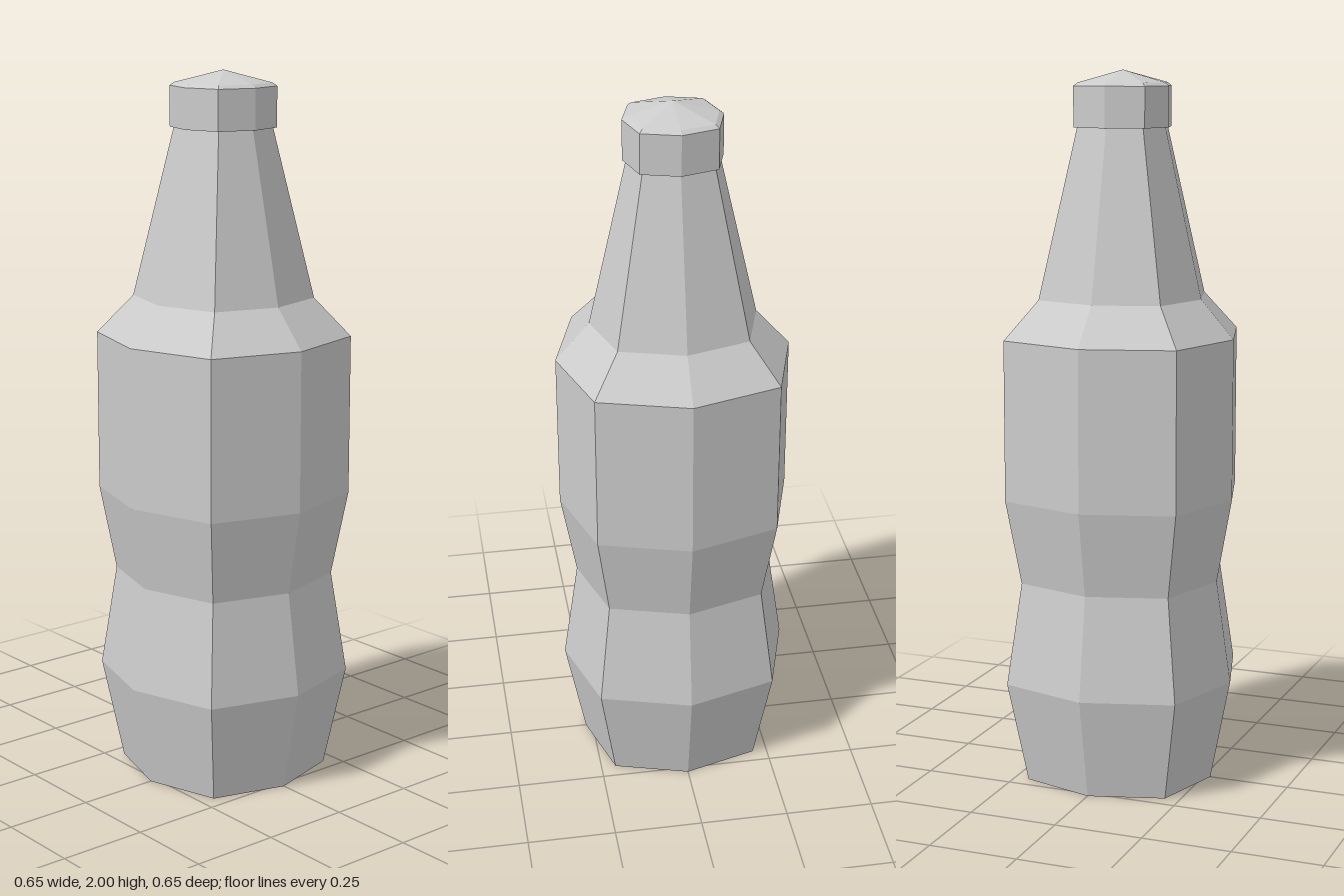
import * as THREE from 'three';

const material = new THREE.MeshStandardMaterial({ color: 0xcccccc, flatShading: true });

// Eight-sided lathe whose diagonal corners are pushed out, giving a squarish octagon
function squaredLathe(name, profile) {
  const points = profile.map(([r, y]) => new THREE.Vector2(r, y));
  const geometry = new THREE.LatheGeometry(points, 8);
  const pos = geometry.attributes.position;
  for (let i = 0; i < pos.count; i++) {
    const corner = Math.floor(i / points.length) % 2 === 1;
    const k = corner ? 1.09 : 1;
    pos.setXYZ(i, pos.getX(i) * k, pos.getY(i), pos.getZ(i) * k);
  }
  geometry.computeVertexNormals();
  const mesh = new THREE.Mesh(geometry, material);
  mesh.name = name;
  return mesh;
}

export function createModel() {
  const group = new THREE.Group();
  group.name = 'bottle';

  // Base, pinched waist, straight label band, shoulder and tapering neck
  group.add(squaredLathe('bottleBody', [
    [0, 0], [0.27, 0], [0.327, 0.29], [0.284, 0.58], [0.327, 0.82],
    [0.327, 1.27], [0.232, 1.377], [0.124, 1.85],
  ]));

  // Overhanging cap with a small bevel and a low pointed top
  group.add(squaredLathe('cap', [
    [0, 1.845], [0.135, 1.845], [0.135, 1.957], [0.123, 1.966], [0, 2],
  ]));

  return group;
}
